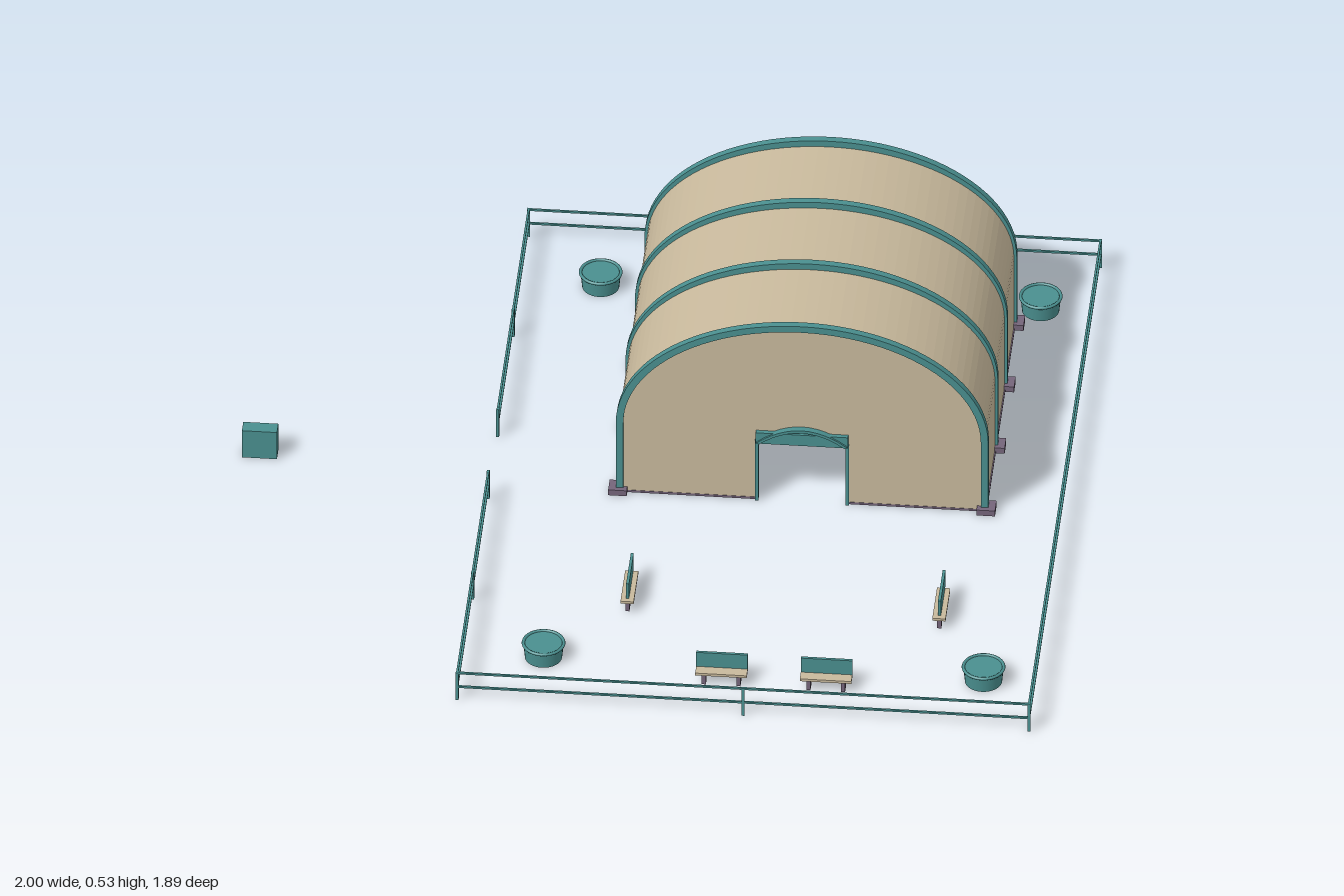
import * as THREE from 'three';

const mat = (color) => new THREE.MeshStandardMaterial({ color, side: THREE.DoubleSide });

export function createModel() {
  const model = new THREE.Group();
  const teal = mat(0x4a8f8f), tan = mat(0xc8b99c), plum = mat(0x75657a);
  const CX = 0.365, SPRING = 0.21;            // hall centre line and height where the vault starts
  const ribZ = [0.065, -0.19, -0.44, -0.69];

  const add = (name, geo, material, x = 0, y = 0, z = 0, parent = model) => {
    const mesh = new THREE.Mesh(geo, material);
    mesh.name = name;
    mesh.position.set(x, y, z);
    parent.add(mesh);
    return mesh;
  };
  // box given by centre x, bottom y, centre z
  const box = (name, material, w, h, d, x, y, z, parent) =>
    add(name, new THREE.BoxGeometry(w, h, d), material, x, y + h / 2, z, parent);

  // half-ellipse on straight legs, from the right foot over to the left foot
  const archPoints = (rx, ry) => {
    const pts = [new THREE.Vector2(rx, 0)];
    for (let i = 0; i <= 48; i++) {
      const a = (Math.PI * i) / 48;
      pts.push(new THREE.Vector2(Math.cos(a) * rx, SPRING + Math.sin(a) * ry));
    }
    pts.push(new THREE.Vector2(-rx, 0));
    return pts;
  };
  const extrude = (shape, depth) =>
    new THREE.ExtrudeGeometry(shape, { depth, bevelEnabled: false }).translate(0, 0, -depth / 2);
  const archBand = (rx, ry, t, depth) => extrude(
    new THREE.Shape([...archPoints(rx, ry), ...archPoints(rx - t, ry - t).reverse()]), depth);

  // vaulted hall
  const hall = new THREE.Group();
  hall.name = 'hall';
  model.add(hall);
  add('vaultShell', archBand(0.445, 0.303, 0.005, 0.755), tan, CX, 0, -0.3125, hall);
  add('backWall', extrude(new THREE.Shape(archPoints(0.441, 0.3)), 0.01), tan, CX, 0, -0.69, hall);
  const front = archPoints(0.441, 0.3);
  for (const [x, y] of [[-0.11, 0], [-0.11, 0.18], [0.11, 0.18], [0.11, 0]]) front.push(new THREE.Vector2(x, y));
  add('frontWall', extrude(new THREE.Shape(front), 0.01), tan, CX, 0, 0.063, hall);

  // arched ribs with foot pads
  const ribGeo = archBand(0.452, 0.32, 0.018, 0.018);
  for (const z of ribZ) {
    add('rib', ribGeo, teal, CX, 0, z, hall);
    for (const s of [-1, 1]) box('ribFoot', plum, 0.045, 0.016, 0.042, CX + s * 0.447, 0, z, hall);
  }

  // sills under the walls
  for (const s of [-1, 1]) {
    box('sideSill', plum, 0.014, 0.006, 0.75, CX + s * 0.441, 0, -0.3125, hall);
    box('frontSill', plum, 0.33, 0.006, 0.012, CX + s * 0.275, 0, 0.063, hall);
  }
  box('backSill', plum, 0.88, 0.006, 0.012, CX, 0, -0.69, hall);

  // doorway frame with a bowed canopy
  for (const s of [-1, 1]) box('doorPost', teal, 0.008, 0.18, 0.018, CX + s * 0.11, 0, 0.066, hall);
  box('doorLintel', teal, 0.224, 0.032, 0.018, CX, 0.175, 0.07, hall);
  const canopy = new THREE.Shape();
  canopy.moveTo(-0.11, 0.18);
  canopy.quadraticCurveTo(0, 0.268, 0.11, 0.18);
  canopy.lineTo(0.104, 0.176);
  canopy.quadraticCurveTo(0, 0.256, -0.104, 0.176);
  add('doorCanopy', extrude(canopy, 0.02), teal, CX, 0, 0.074, hall);

  // perimeter fence with an entrance gap on the right side
  const fence = new THREE.Group();
  fence.name = 'fence';
  model.add(fence);
  const X0 = -0.392, X1 = 0.996, Z = 0.943;
  const runs = [
    [X0, Z, X1, Z, 2], [X0, -Z, X1, -Z, 2], [X1, -Z, X1, Z, 1],
    [X0, -Z, X0, -0.128, 2], [X0, 0.125, X0, Z, 2],
  ];
  for (const [ax, az, bx, bz, bays] of runs) {
    for (const y of [0.036, 0.077])
      box('fenceRail', teal, Math.abs(bx - ax) + 0.005, 0.005, Math.abs(bz - az) + 0.005, (ax + bx) / 2, y, (az + bz) / 2, fence);
    for (let i = 0; i <= bays; i++) {
      const t = i / bays;
      box('fencePost', teal, 0.007, 0.082, 0.007, ax + (bx - ax) * t, 0, az + (bz - az) * t, fence);
    }
  }

  // round planters
  for (const x of [-0.2, 0.868]) for (const z of [-0.757, 0.752]) {
    const planter = new THREE.Group();
    planter.name = 'planter';
    planter.position.set(x, 0, z);
    model.add(planter);
    add('planterTub', new THREE.CylinderGeometry(0.049, 0.045, 0.042, 32), teal, 0, 0.021, 0, planter);
    add('planterRim', new THREE.TorusGeometry(0.049, 0.004, 8, 32).rotateX(Math.PI / 2), teal, 0, 0.042, 0, planter);
  }

  // benches: two along the front, one on each side
  const bench = (x, z, side) => {
    const g = new THREE.Group();
    g.name = 'bench';
    g.position.set(x, 0, z);
    model.add(g);
    const [w, d] = side ? [0.032, 0.125] : [0.125, 0.032];
    box('benchSeat', tan, w, 0.007, d, 0, 0.029, 0, g);
    if (side) box('benchBack', teal, 0.007, 0.044, 0.125, 0, 0.036, -0.013, g);
    else box('benchBack', teal, 0.125, 0.044, 0.007, 0, 0.034, -0.015, g);
    for (const s of [-1, 1])
      box('benchLeg', plum, 0.01, 0.03, 0.022, side ? 0 : s * 0.042, 0, side ? s * 0.042 : 0, g);
  };
  bench(0.238, 0.817, false);
  bench(0.492, 0.817, false);
  bench(-0.015, 0.497, true);
  bench(0.742, 0.497, true);

  // sign block outside the entrance
  box('signBlock', teal, 0.085, 0.08, 0.036, -0.9575, 0, -0.004, model);
  box('signPanel', teal, 0.072, 0.066, 0.005, -0.9575, 0.007, -0.0235, model);
  return model;
}
